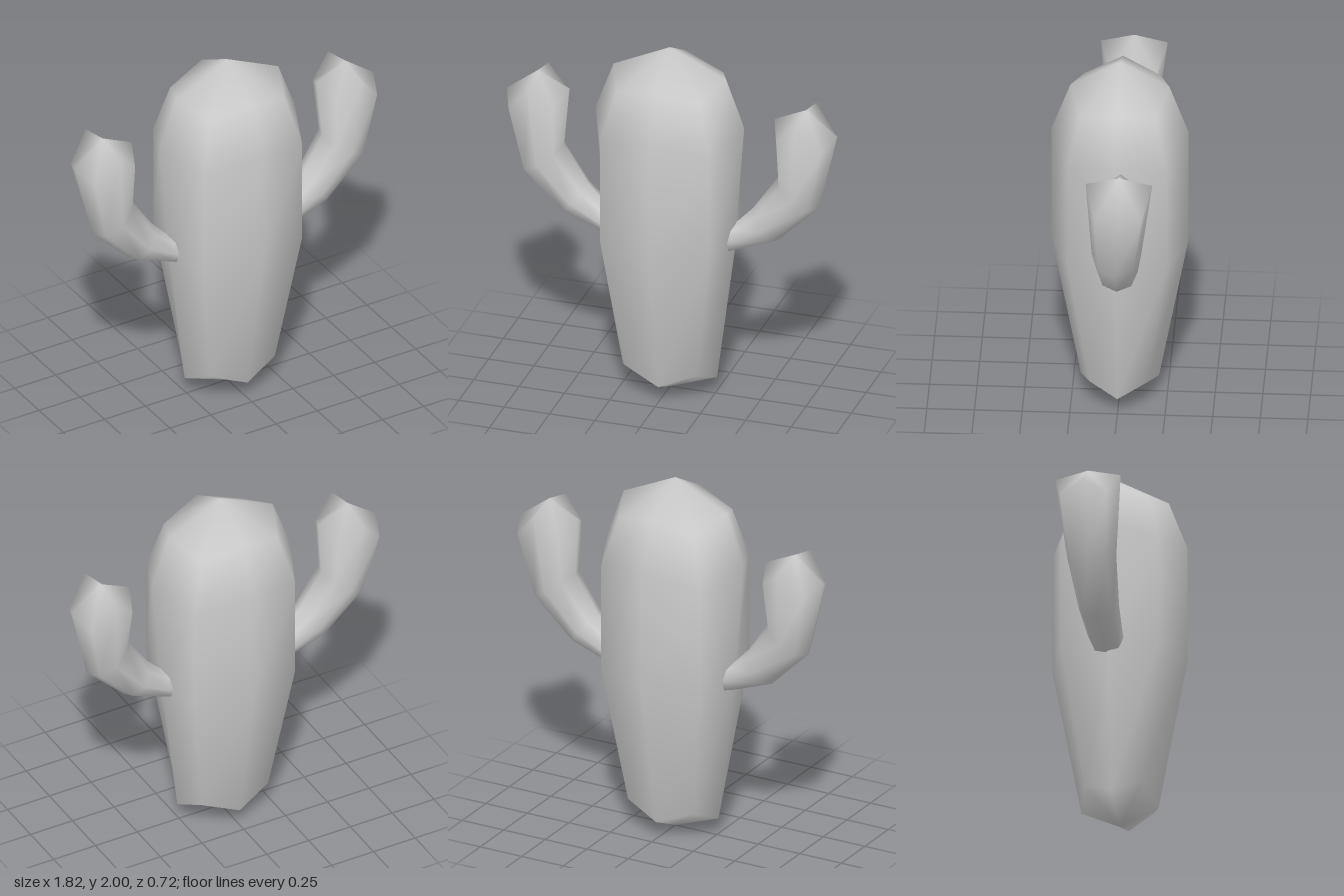
import * as THREE from 'three';

const SIDES = 8;

// One eight-point ring; place(cos, sin, diagonal) gives each corner as [x, y, z]
function ring(place) {
  return Array.from({ length: SIDES }, (_, i) => {
    const a = (i / SIDES) * Math.PI * 2;
    return place(Math.cos(a), Math.sin(a), Math.abs(Math.sin(2 * a)));
  });
}

// Smooth skin over rings, closed by a point at both ends
function loft(rings, startPoint, endPoint) {
  const positions = [startPoint, ...rings.flat(), endPoint].flat();
  const last = rings.length * SIDES + 1;
  const at = (r, j) => 1 + r * SIDES + (j % SIDES);
  const index = [];
  for (let j = 0; j < SIDES; j++) {
    index.push(0, at(0, j), at(0, j + 1));
    for (let r = 0; r < rings.length - 1; r++) {
      const a = at(r, j), b = at(r, j + 1), c = at(r + 1, j), d = at(r + 1, j + 1);
      index.push(a, c, b, b, c, d);
    }
    index.push(at(rings.length - 1, j), last, at(rings.length - 1, j + 1));
  }
  const geometry = new THREE.BufferGeometry();
  geometry.setAttribute('position', new THREE.Float32BufferAttribute(positions, 3));
  geometry.setIndex(index);
  geometry.computeVertexNormals();
  return geometry;
}

// Trunk: height, x radius, z radius, diagonal x, diagonal z, diagonal height offset
function trunkGeometry() {
  const levels = [
    [0.10, 0.26, 0.205, 0.20, 0.15, 0.07],
    [0.93, 0.36, 0.36, 0.30, 0.26, 0],
    [1.585, 0.41, 0.36, 0.30, 0.26, -0.065],
    [1.855, 0.31, 0.26, 0.23, 0.20, -0.065],
  ];
  const rings = levels.map(([y, rx, rz, dx, dz, lift]) =>
    ring((c, s, d) => d > 0.5
      ? [Math.sign(c) * dx, y + lift, Math.sign(s) * dz]
      : [c * rx, y, s * rz]));
  return loft(rings, [0, 0.005, 0], [0, 2, 0]);
}

// Arm: inner x, y, outer x, y, z centre, z radius, side lift, diagonal drop
function armGeometry(side) {
  const sections = [
    [0.25, 0.99, 0.25, 0.82, 0, 0.08, 0, 0],
    [0.37, 1.03, 0.35, 0.86, -0.01, 0.092, 0, 0],
    [0.455, 1.12, 0.59, 0.95, -0.015, 0.107, 0, 0],
    [0.59, 1.32, 0.815, 1.17, -0.02, 0.13, 0, 0],
    [0.565, 1.65, 0.912, 1.60, -0.035, 0.175, 0.065, 0.095],
  ];
  const rings = sections.map(([ix, iy, ox, oy, z, rz, lift, drop]) => {
    const points = ring((c, s, d) => [
      side * ((ix + ox) / 2 + (c * (ox - ix)) / 2),
      (iy + oy) / 2 + (c * (oy - iy)) / 2 + lift * s * s - drop * d,
      z + s * rz,
    ]);
    return side > 0 ? points : points.reverse();
  });
  return loft(rings, [side * 0.25, 0.905, 0], [side * 0.74, 1.73, -0.035]);
}

export function createModel() {
  const model = new THREE.Group();
  model.name = 'cactus';
  const material = new THREE.MeshStandardMaterial({ color: 0xcccccc });
  const add = (name, geometry) => {
    const mesh = new THREE.Mesh(geometry, material);
    mesh.name = name;
    model.add(mesh);
  };
  add('trunk', trunkGeometry());
  add('leftArm', armGeometry(1));
  add('rightArm', armGeometry(-1));
  return model;
}
